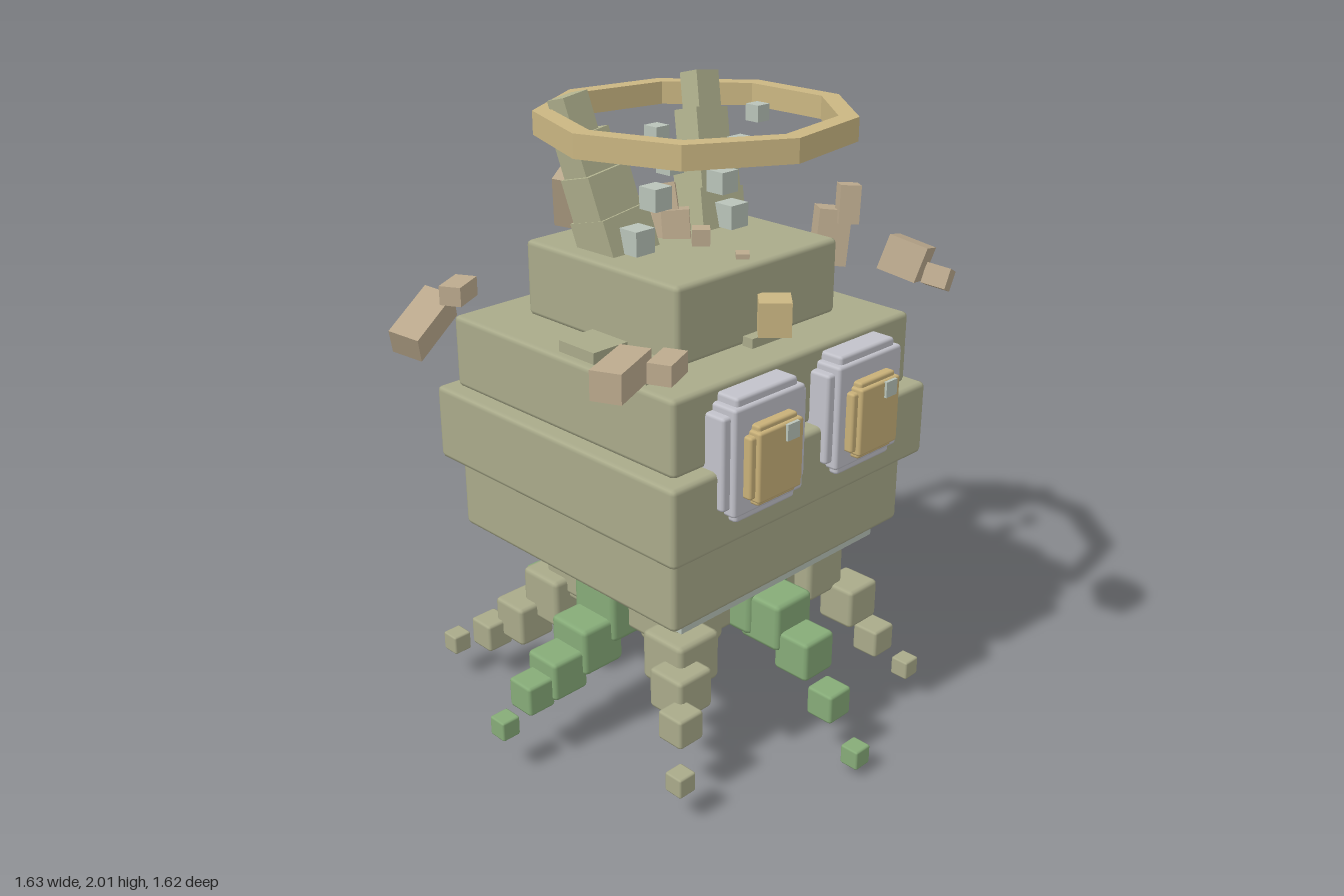
import * as THREE from 'three';
import { RoundedBoxGeometry } from 'three/addons/geometries/RoundedBoxGeometry.js';

const mat = (name, color) => {
  const m = new THREE.MeshStandardMaterial({ color });
  m.name = name;
  return m;
};

export function createModel() {
  const root = new THREE.Group();
  root.name = 'floatingBlockCreature';
  const olive = mat('olive stone', 0xa9aa8a);
  const hornOlive = mat('pale olive', 0xb0b18e);
  const green = mat('moss green', 0x86ab78);
  const gold = mat('gold', 0xcab682);
  const iris = mat('amber', 0xc8b078);
  const grey = mat('eye grey', 0xc2c2ca);
  const mist = mat('mist grey', 0xb9c3b9);
  const rock = mat('sandy rock', 0xbcaa8e);

  const group = (name) => {
    const g = new THREE.Group();
    g.name = name;
    root.add(g);
    return g;
  };
  const add = (parent, name, geo, material, pos, rot = [0, 0, 0]) => {
    const m = new THREE.Mesh(geo, material);
    m.name = name;
    m.position.set(...pos);
    m.rotation.set(...rot);
    parent.add(m);
    return m;
  };
  // sharp box
  const box = (parent, name, material, size, pos, rot) =>
    add(parent, name, new THREE.BoxGeometry(...size), material, pos, rot);
  // box with bevelled edges
  const bevel = (parent, name, material, size, pos, r = 0.016) =>
    add(parent, name, new RoundedBoxGeometry(...size, 1, r), material, pos);

  // stacked body tiers: width, depth, bottom, top
  const body = group('body');
  [
    ['lowerTier', 1.025, 0.97, 0.59, 0.83],
    ['middleTier', 1.12, 1.066, 0.83, 1.075],
    ['upperTier', 1.025, 0.97, 1.075, 1.31],
    ['crownTier', 0.685, 0.655, 1.31, 1.55],
    ['undersideColumn', 0.655, 0.62, 0.36, 0.56],
  ].forEach(([name, w, d, y0, y1]) =>
    bevel(body, name, olive, [w, y1 - y0, d], [-0.016, (y0 + y1) / 2, 0]));
  box(body, 'skirt', mist, [0.875, 0.06, 0.88], [-0.016, 0.57, 0]);

  // thin slabs resting on the upper tier
  [
    [0.37, -0.22, 0.16, 0.28, 0.03], [0.405, -0.12, 0.12, 0.2, 0.035],
    [0.4, -0.28, 0.09, 0.2, 0.02], [-0.435, 0.06, 0.13, 0.15, 0.035],
    [-0.44, 0.265, 0.12, 0.17, 0.03], [-0.01, 0.345, 0.16, 0.04, 0.03],
  ].forEach(([x, z, w, d, h]) =>
    box(body, 'topSlab', olive, [w, h, d], [x, 1.31 + h / 2, z]));

  // eyes: stepped grey frame, stepped amber iris, small highlight
  const eyes = group('eyes');
  for (const x of [-0.235, 0.205]) {
    bevel(eyes, 'eyeFrameWide', grey, [0.345, 0.285, 0.1], [x, 1.1, 0.505], 0.01);
    bevel(eyes, 'eyeFrameTall', grey, [0.25, 0.38, 0.1], [x, 1.1, 0.51], 0.01);
    bevel(eyes, 'eyeFrameMiddle', grey, [0.29, 0.33, 0.12], [x, 1.1, 0.513], 0.01);
    bevel(eyes, 'irisWide', iris, [0.22, 0.19, 0.06], [x, 1.085, 0.57], 0.008);
    bevel(eyes, 'irisTall', iris, [0.16, 0.245, 0.06], [x, 1.085, 0.572], 0.008);
    bevel(eyes, 'irisCentre', iris, [0.18, 0.215, 0.06], [x, 1.085, 0.585], 0.008);
    box(eyes, 'eyeHighlight', mist, [0.05, 0.05, 0.03], [x + 0.04, 1.165, 0.608]);
  }

  // nine-sided rings
  const ringShape = (start) => {
    const pts = (r) => Array.from({ length: 9 }, (_, i) => {
      const a = start + (i * 2 * Math.PI) / 9;
      return new THREE.Vector2(r * Math.cos(a), r * Math.sin(a));
    });
    const s = new THREE.Shape(pts(0.475));
    s.holes.push(new THREE.Path(pts(0.415).reverse()));
    const g = new THREE.ExtrudeGeometry(s, { depth: 0.07, bevelEnabled: false });
    return g.translate(0, 0, -0.035);
  };
  const rings = group('rings');
  add(rings, 'haloRing', ringShape(Math.PI), gold, [-0.015, 1.92, 0.06], [Math.PI / 2, 0, 0]);
  add(rings, 'embeddedRing', ringShape(Math.PI / 2), gold, [0.0, 0.73, -0.28], [-0.35, 0, 0]);

  // horns and rising mist cubes on both sides
  const horns = group('horns');
  const mistCubes = group('mistCubes');
  for (const s of [-1, 1]) {
    const cx = -0.016;
    [
      [0.195, 1.585, -0.085, 0.185, 0.15], [0.22, 1.71, -0.115, 0.165, 0.125],
      [0.24, 1.82, -0.15, 0.135, 0.1], [0.262, 1.928, -0.18, 0.095, 0.075],
    ].forEach(([x, y, z, w, d]) =>
      box(horns, 'hornBlock', hornOlive, [w, 0.135, d], [cx + s * x, y, z], [-0.25, 0, -s * 0.13]));
    [
      [0.2, 1.59, 0.015, 0.075], [0.14, 1.71, 0.033, 0.068],
      [0.147, 1.825, 0.1, 0.057], [0.208, 1.92, 0.11, 0.05],
    ].forEach(([x, y, z, w]) =>
      box(mistCubes, 'mistCube', mist, [w, w, w], [cx + s * x, y, z]));
  }

  // row of stone spines over the crown, ending in a gem at the front
  const spines = group('spines');
  const q = Math.PI / 4;
  box(spines, 'gem', gold, [0.097, 0.105, 0.097], [-0.02, 1.402, 0.385], [0, q, 0]);
  [
    [-0.025, 1.535, 0.26, 0.04, 0.06, 0], [-0.015, 1.56, 0.08, 0.055, 0.08, 0],
    [0.0, 1.57, -0.04, 0.085, 0.12, -0.1], [-0.005, 1.61, -0.08, 0.08, 0.18, -0.2],
    [0.025, 1.58, -0.21, 0.06, 0.1, -0.3], [0.0, 1.43, -0.365, 0.065, 0.21, -0.2],
  ].forEach(([x, y, z, w, h, lean]) =>
    box(spines, 'spine', rock, [w, h, w], [x, y, z], [lean, q, lean * 0.8]));

  // five pairs of floating rocks around the crown
  const debris = group('floatingRocks');
  [
    [[0.21, 0.09, 0.1], [-0.66, 1.325, -0.455], [0.2, 0.4, 0.35], [0.12, 0.06, 0.07], [-0.55, 1.41, -0.42], [0, 0.5, 0]],
    [[0.2, 0.085, 0.09], [-0.66, 1.41, 0.425], [0, 0.42, 0], [0.12, 0.06, 0.07], [-0.54, 1.41, 0.475], [0, 0.42, 0]],
    [[0.13, 0.19, 0.1], [0.18, 1.51, -0.73], [0.12, 0.5, 0.25], [0.08, 0.11, 0.07], [0.25, 1.62, -0.69], [0.1, 0.6, 0.1]],
    [[0.11, 0.19, 0.12], [0.725, 1.4, -0.03], [-0.15, -0.7, -0.2], [0.07, 0.13, 0.08], [0.74, 1.52, 0.03], [-0.15, -0.7, -0.15]],
    [[0.2, 0.1, 0.11], [0.18, 1.6, 0.695], [0.3, 0.4, -0.4], [0.12, 0.06, 0.07], [0.28, 1.53, 0.735], [0.2, 0.4, -0.45]],
  ].forEach(([s1, p1, r1, s2, p2, r2]) => {
    box(debris, 'largeRock', rock, s1, p1, r1);
    box(debris, 'smallRock', rock, s2, p2, r2);
  });

  // tentacles: shrinking cubes along a direction, given as [reach, height, size]
  const tentacle = (name, material, dx, dz, links) => {
    const g = group(name);
    links.forEach(([d, y, s]) => bevel(g, 'tentacleCube', material, [s, s, s],
      [-0.018 + dx * d, y, dz * d], s * 0.1));
  };
  const low = [[0.3, 0.45, 0.185], [0.42, 0.42, 0.16], [0.54, 0.34, 0.132], [0.647, 0.205, 0.097], [0.76, 0.062, 0.065]];
  const high = [[0.3, 0.42, 0.185], [0.42, 0.33, 0.16], [0.545, 0.27, 0.132], [0.65, 0.235, 0.1], [0.76, 0.165, 0.065]];
  const back = [[0.3, 0.45, 0.185], [0.42, 0.35, 0.16], [0.54, 0.235, 0.125], [0.645, 0.13, 0.095], [0.76, 0.085, 0.065]];
  tentacle('frontTentacle', green, 0, 1, low);
  tentacle('leftTentacle', green, 1, 0, low);
  tentacle('rightTentacle', green, -1, 0, high);
  tentacle('backTentacle', green, 0, -1, back);

  const cornerLow = [[0.22, 0.46, 0.19], [0.295, 0.43, 0.17], [0.395, 0.3, 0.137], [0.46, 0.15, 0.097], [0.54, 0.033, 0.065]];
  const cornerBack = [[0.22, 0.46, 0.19], [0.3, 0.38, 0.17], [0.38, 0.23, 0.137], [0.455, 0.11, 0.095], [0.54, 0.033, 0.065]];
  const cornerHigh = [[0.22, 0.43, 0.19], [0.3, 0.35, 0.17], [0.375, 0.3, 0.137], [0.46, 0.25, 0.097], [0.54, 0.13, 0.065]];
  const cornerMid = [[0.22, 0.43, 0.19], [0.29, 0.33, 0.17], [0.375, 0.23, 0.137], [0.455, 0.17, 0.097], [0.54, 0.13, 0.065]];
  tentacle('frontLeftTentacle', olive, 1, 1, cornerLow);
  tentacle('backLeftTentacle', olive, 1, -1, cornerBack);
  tentacle('frontRightTentacle', olive, -1, 1, cornerHigh);
  tentacle('backRightTentacle', olive, -1, -1, cornerMid);

  return root;
}
